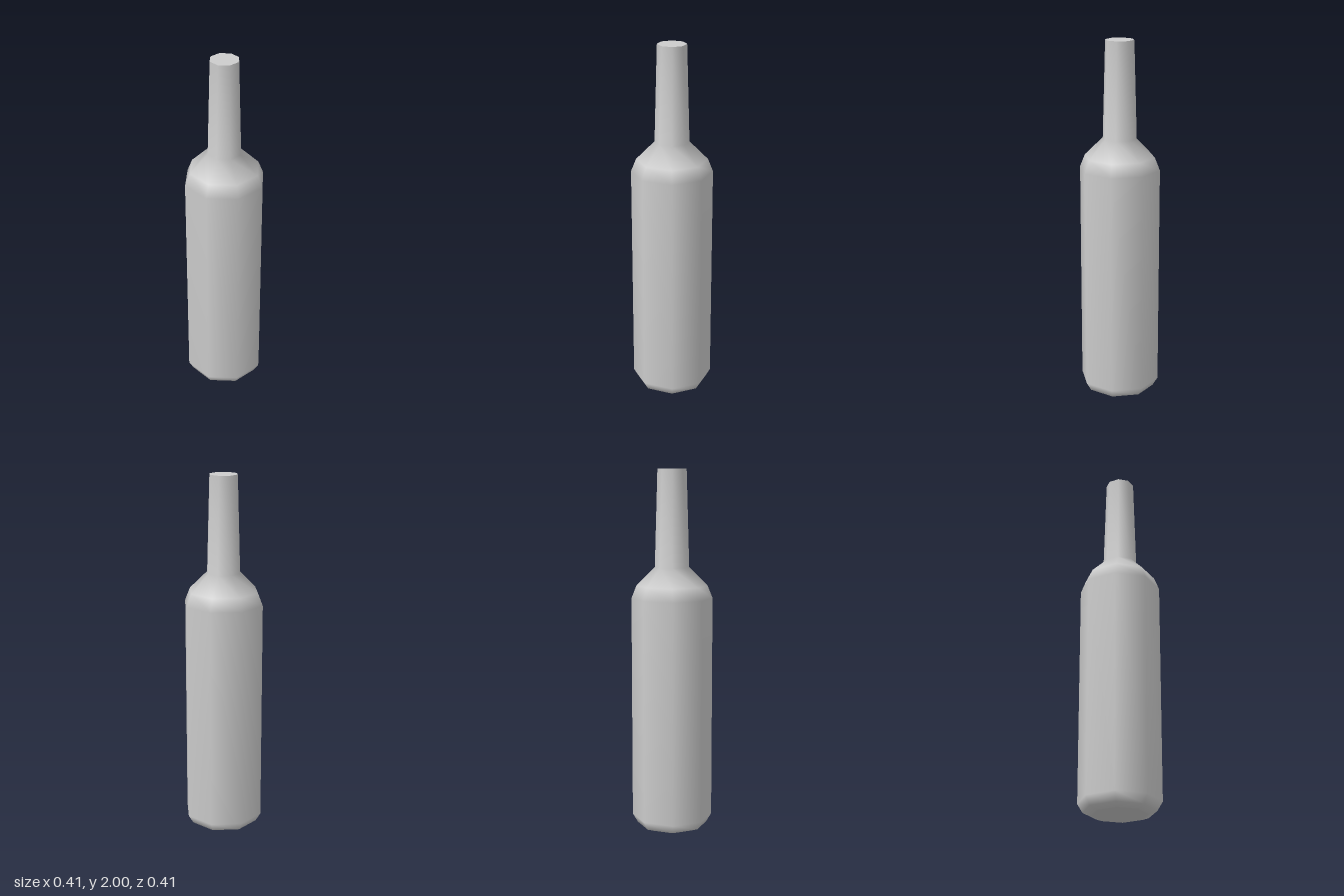
import * as THREE from 'three';

const SIDES = 8;
const TURN = Math.PI / SIDES; // turns flat sides towards the axes
const toCorner = (apothem) => apothem / Math.cos(TURN);

export function createModel() {
  const group = new THREE.Group();
  group.name = 'bottle';
  const grey = new THREE.MeshStandardMaterial({ color: 0xcccccc });
  grey.name = 'light grey';

  // Half-widths across the flats, from base to mouth
  const profile = [
    [0.14, 0], [0.18, 0.017], [0.206, 0.065], [0.206, 1.3],
    [0.18, 1.37], [0.087, 1.47], [0.073, 2],
  ].map(([r, y]) => new THREE.Vector2(toCorner(r), y));

  // Smooth eight-sided body, shoulder and neck
  const body = new THREE.Mesh(new THREE.LatheGeometry(profile, SIDES, TURN), grey);
  body.name = 'bottleBody';
  group.add(body);

  // Flat end faces with sharp rims
  const addCap = (name, point, tilt) => {
    const cap = new THREE.Mesh(new THREE.CircleGeometry(point.x, SIDES, TURN), grey);
    cap.name = name;
    cap.rotation.x = tilt;
    cap.position.y = point.y;
    group.add(cap);
  };
  addCap('bottleBase', profile[0], Math.PI / 2);
  addCap('bottleMouth', profile[profile.length - 1], -Math.PI / 2);

  return group;
}
